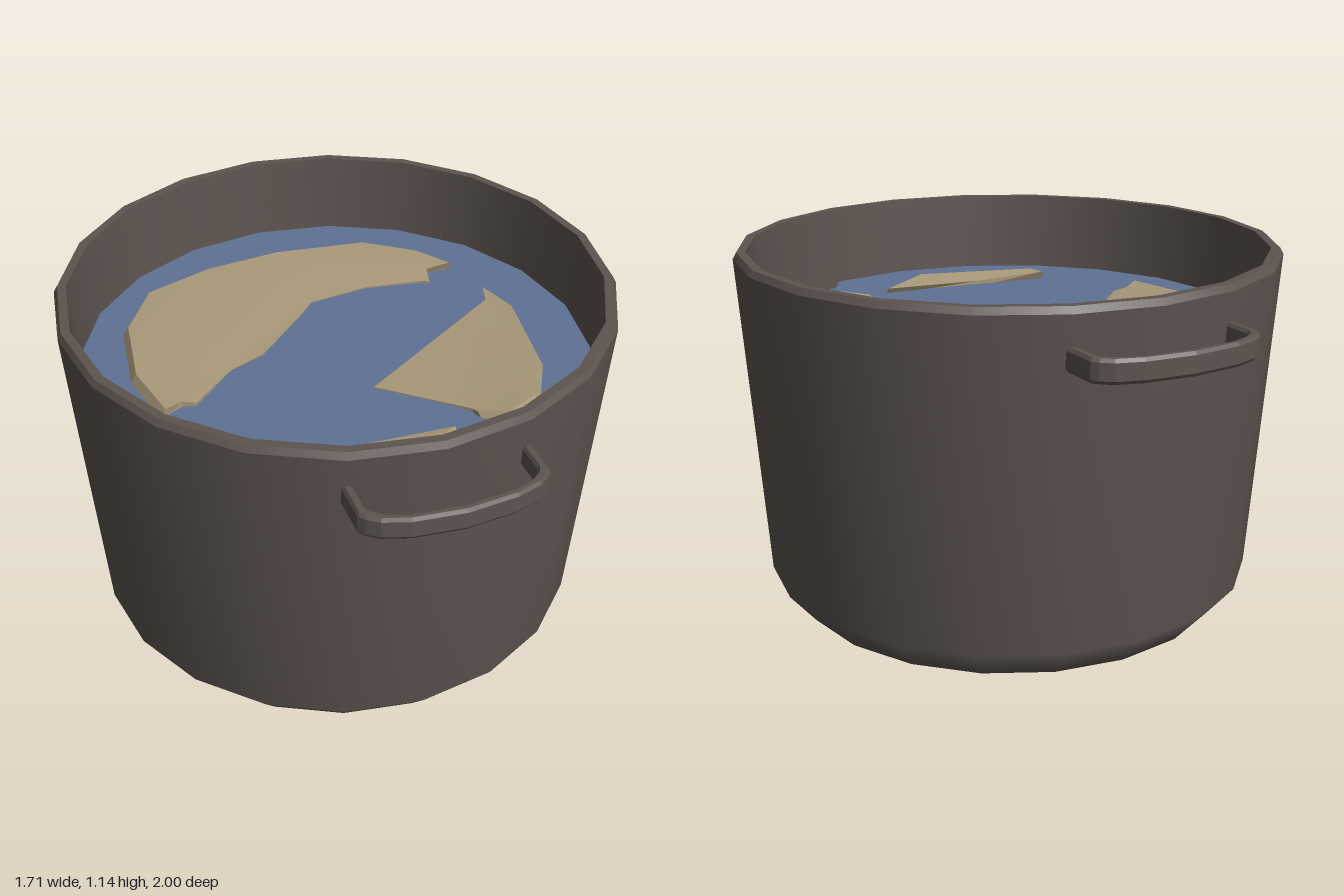
import * as THREE from 'three';

const WATER_Y = 0.89;

const material = (name, color) => {
  const m = new THREE.MeshStandardMaterial({ color });
  m.name = name;
  return m;
};

const named = (geometry, mat, name) => {
  const mesh = new THREE.Mesh(geometry, mat);
  mesh.name = name;
  return mesh;
};

// 20-sided surface of revolution, profile given as [radius, height]
const lathe = (profile) =>
  new THREE.LatheGeometry(profile.map(([r, y]) => new THREE.Vector2(r, y)), 20);

// Flat upward-facing sheet from [x, z] points
const sheet = (points) =>
  new THREE.ShapeGeometry(new THREE.Shape(points.map(([x, z]) => new THREE.Vector2(x, -z)))).rotateX(-Math.PI / 2);

// Low piece of food: top rises towards its outer edge, with a sloping skirt
function foodPiece(outline, mat, name) {
  const group = new THREE.Group();
  group.name = name;
  const flat = outline.map(([x, z]) => new THREE.Vector2(x, -z));
  const pts = THREE.ShapeUtils.isClockWise(flat) ? [...outline].reverse() : outline;
  const height = (r) => WATER_Y + 0.004 + 0.026 * THREE.MathUtils.smoothstep(r, 0.45, 0.62);
  const inset = pts.map(([x, z]) => {
    const k = Math.hypot(x, z) > 0.55 ? 0.965 : 1;
    return [x * k, z * k];
  });

  const top = sheet(inset);
  const pos = top.attributes.position;
  for (let i = 0; i < pos.count; i++) pos.setY(i, height(Math.hypot(pos.getX(i), pos.getZ(i))));
  top.computeVertexNormals();
  group.add(named(top, mat, 'foodTop'));

  const v = [];
  pts.forEach(([ax, az], i) => {
    const j = (i + 1) % pts.length;
    const [bx, bz] = pts[j], [cx, cz] = inset[j], [dx, dz] = inset[i];
    const a = [ax, WATER_Y - 0.01, az], b = [bx, WATER_Y - 0.01, bz];
    const c = [cx, height(Math.hypot(cx, cz)), cz], d = [dx, height(Math.hypot(dx, dz)), dz];
    v.push(...a, ...b, ...c, ...a, ...c, ...d);
  });
  const skirt = new THREE.BufferGeometry();
  skirt.setAttribute('position', new THREE.Float32BufferAttribute(v, 3));
  skirt.computeVertexNormals();
  group.add(named(skirt, mat, 'foodEdge'));
  return group;
}

// Bevelled flat loop handle, mirrored across x
function handleGeometry() {
  const outer = [[0.275, 0.79], [0.275, 0.915], [0.26, 0.935], [0.227, 0.96], [0.15, 0.985], [0, 1]];
  const inner = [[0, 0.973], [0.148, 0.96], [0.206, 0.938], [0.235, 0.915], [0.245, 0.894], [0.245, 0.79]];
  const flip = (list) => list.map(([x, z]) => [-x, z]).reverse();
  const loop = [...outer, ...flip(outer).slice(1), ...flip(inner), ...inner.slice(1)];
  const shape = new THREE.Shape(loop.map(([x, z]) => new THREE.Vector2(x, z)));
  return new THREE.ExtrudeGeometry(shape, {
    depth: 0.05, bevelEnabled: true, bevelThickness: 0.01, bevelSize: 0.007, bevelOffset: -0.007, bevelSegments: 1,
  }).rotateX(Math.PI / 2).translate(0, 1.025, 0);
}

export function createModel() {
  const model = new THREE.Group();
  model.name = 'cookingPot';
  const iron = material('dark iron', 0x5d544f);
  const blue = material('water blue', 0x5f7194);
  const tan = material('food tan', 0xa89879);

  // Pot shell
  const pot = new THREE.Group();
  pot.name = 'pot';
  pot.add(
    named(lathe([[0, 0], [0.695, 0]]), iron, 'potBottom'),
    named(lathe([[0.695, 0], [0.78, 0.1], [0.853, 1.125]]), iron, 'potWall'),
    named(lathe([[0.853, 1.125], [0.842, 1.145]]), iron, 'rimBevel'),
    named(lathe([[0.842, 1.145], [0.815, 1.145]]), iron, 'rimTop'),
    named(lathe([[0.815, 1.145], [0.745, 0.1]]), iron, 'innerWall'),
    named(lathe([[0.745, 0.1], [0, 0.1]]), iron, 'innerFloor'),
  );
  model.add(pot);

  // Front and back handles
  const handle = handleGeometry();
  ['frontHandle', 'backHandle'].forEach((name, i) => {
    const mesh = named(handle, iron, name);
    mesh.rotation.y = i * Math.PI;
    model.add(mesh);
  });

  // Water, with a small gap beside the wall
  const surface = [];
  for (let i = 0; i < 20; i++) {
    const a = (i * Math.PI) / 10;
    if (i === 3) surface.push([0.5, 0.63], [0.41, 0.66], [0.35, 0.66], [0.3, 0.68], [0.265, 0.75]);
    else surface.push([0.812 * Math.cos(a), 0.812 * Math.sin(a)]);
  }
  const water = named(sheet(surface), blue, 'water');
  water.position.y = WATER_Y;
  model.add(water);

  // Floating food
  model.add(
    foodPiece([
      [-0.61, 0.16], [-0.65, -0.05], [-0.61, -0.32], [-0.49, -0.51], [-0.26, -0.59], [0, -0.62],
      [0.31, -0.58], [0.47, -0.46], [0.545, -0.345], [0.46, -0.345], [0.43, -0.27], [0.4, -0.29],
      [0.22, -0.32], [0.02, -0.295], [-0.03, -0.24], [-0.22, -0.06], [-0.34, -0.01], [-0.49, 0.13], [-0.53, 0.12],
    ], tan, 'largeFoodPiece'),
    foodPiece([
      [0.59, -0.16], [0.63, -0.015], [0.58, 0.29], [0.48, 0.475], [0.37, 0.525], [0.285, 0.48],
      [0.27, 0.44], [0.22, 0.38], [0.04, 0.225], [0.57, -0.09],
    ], tan, 'wedgeFoodPiece'),
    foodPiece([
      [0.19, 0.525], [0.01, 0.625], [-0.18, 0.58], [-0.38, 0.51], [-0.4, 0.455], [-0.15, 0.485],
    ], tan, 'smallFoodPiece'),
  );
  return model;
}
